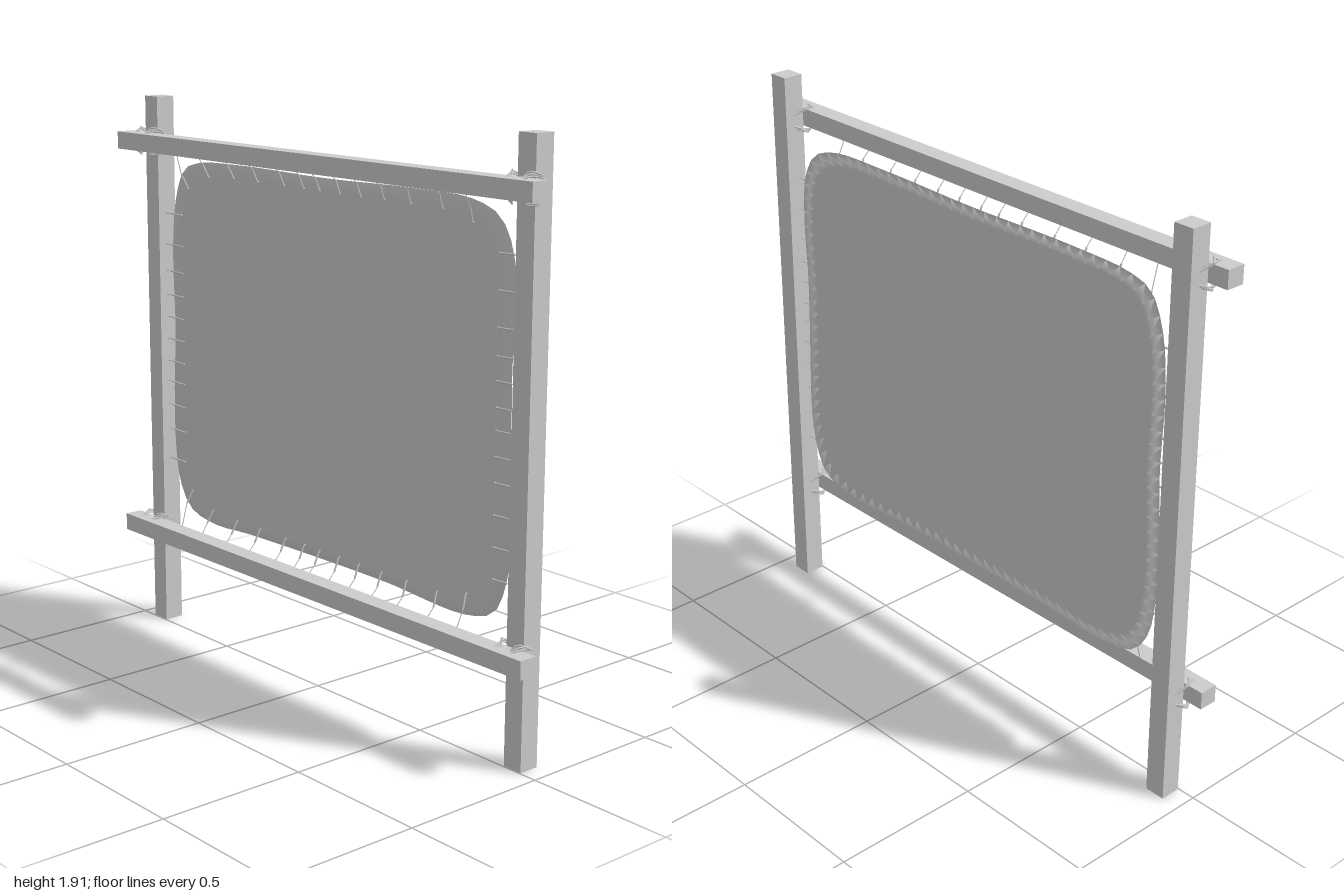
import * as THREE from 'three';

const grey = new THREE.MeshStandardMaterial({ color: 0xcccccc });
grey.name = 'pale grey';

const POST_X = 0.903, HIDE_Z = -0.037, CENTRE_Y = 1.065;
const RAILS = [0.363, 1.758];
const v = (x, y, z) => new THREE.Vector3(x, y, z);

function add(parent, geometry, name) {
  const mesh = new THREE.Mesh(geometry, grey);
  mesh.name = name;
  parent.add(mesh);
  return mesh;
}

function cord(parent, points, radius, name, segments = 4) {
  const curve = new THREE.CatmullRomCurve3(points);
  return add(parent, new THREE.TubeGeometry(curve, segments, radius, 5), name);
}

// Thin stretched skin: shrinking copies of one outline, front to back
function hideGeometry() {
  const outline = new THREE.CatmullRomCurve3([
    [-0.80, 1.60], [-0.825, 1.50], [-0.835, 1.35], [-0.828, 1.10], [-0.84, 0.85], [-0.835, 0.65],
    [-0.81, 0.53], [-0.75, 0.45], [-0.62, 0.42], [-0.40, 0.428], [0, 0.433], [0.30, 0.432],
    [0.66, 0.42], [0.78, 0.46], [0.83, 0.57], [0.845, 0.70], [0.84, 0.90], [0.832, 1.20],
    [0.84, 1.40], [0.825, 1.57], [0.77, 1.66], [0.66, 1.70], [0.40, 1.708], [0, 1.702],
    [-0.45, 1.706], [-0.68, 1.695], [-0.76, 1.667],
  ].map(([x, y]) => v(x, y, 0)), true);
  const N = 108, RIM = 2, pts = outline.getSpacedPoints(N).slice(0, N);
  const rings = [[0, 0.002], [0.94, 0.002], [1, 0], [0.94, -0.002], [0, -0.002]];
  const pos = [], idx = [];
  for (const [s, dz] of rings)
    for (const p of pts) pos.push(p.x * s, CENTRE_Y + (p.y - CENTRE_Y) * s, HIDE_Z + dz);
  for (let r = 0; r < rings.length - 1; r++)
    for (let i = 0; i < N; i++) {
      const j = (i + 1) % N, a = r * N + i, b = r * N + j, c = a + N, d = b + N;
      if (r < rings.length - 2) idx.push(a, c, d);
      if (r > 0) idx.push(a, d, b);
    }
  const g = new THREE.BufferGeometry();
  g.setAttribute('position', new THREE.Float32BufferAttribute(pos, 3));
  g.setIndex(idx);
  g.computeVertexNormals();
  // Rim rolls softly towards the front
  pts.forEach((p, i) => {
    const n = v(p.x, p.y - CENTRE_Y, 0).normalize().multiplyScalar(0.3).setZ(1).normalize();
    g.attributes.normal.setXYZ(RIM * N + i, n.x, n.y, n.z);
  });
  return g;
}

export function createModel() {
  const model = new THREE.Group();
  model.name = 'hideStretchingFrame';

  // Timber frame: posts behind, rails in front
  for (const s of [-1, 1])
    add(model, new THREE.BoxGeometry(0.07, 1.912, 0.07), s > 0 ? 'leftPost' : 'rightPost')
      .position.set(s * POST_X, 0.956, -0.038);
  RAILS.forEach((y, i) =>
    add(model, new THREE.BoxGeometry(2, 0.06, 0.064), i ? 'topRail' : 'bottomRail')
      .position.set(0, y, 0.042));

  add(model, hideGeometry(), 'hide');

  // Lashings around the four corners of every crossing
  for (const side of [-1, 1])
    for (const y of RAILS) {
      const lashing = new THREE.Group();
      lashing.name = 'lashing';
      lashing.position.set(side * POST_X, y, 0);
      model.add(lashing);
      for (const sx of [-1, 1])
        for (const sy of [-1, 1])
          for (let k = 0; k < 3; k++) {
            const o = k * 0.006;
            cord(lashing, [
              v(sx * 0.034, sy * (0.02 + o), -0.04 + o),
              v(sx * (0.046 + o * 0.5), sy * (0.03 + o), -0.012 + o),
              v(sx * (0.044 - o), sy * (0.036 + o), 0.02),
              v(sx * (0.032 - o), sy * 0.03, 0.05 - o),
            ], 0.003, 'lashingStrand', 8);
          }
    }

  // Lacing: a fine cord to the frame and a thicker stitch over the hide's edge
  const lacing = new THREE.Group();
  lacing.name = 'lacing';
  model.add(lacing);
  function lace(anchor, edge, hole) {
    cord(lacing, [anchor, edge], 0.0016, 'laceCord', 1);
    cord(lacing, [edge, hole], 0.0032, 'laceStitch', 1);
    cord(lacing, [hole, v(hole.x, hole.y, HIDE_Z)], 0.0032, 'laceEnd', 1);
  }
  const FRONT = HIDE_Z + 0.006;
  for (const x of [-0.74, -0.62, -0.48, -0.35, -0.21, -0.11, -0.03, 0.07, 0.17, 0.28, 0.4, 0.54, 0.67]) {
    const drop = Math.max(0, Math.abs(x) - 0.6) * 0.4;
    for (const s of [-1, 1]) {
      const y = s > 0 ? 1.66 - drop : 0.462 + drop;
      const railY = s > 0 ? 1.73 : 0.391;
      lace(v(x, railY, 0.012), v(x * 1.003, y + s * 0.045, -0.012), v(x * 0.99, y, FRONT));
    }
  }
  const sides = [
    [-1, [1.505, 1.395, 1.30, 1.215, 1.135, 1.055, 0.975, 0.90, 0.815, 0.725, 0.615]],
    [1, [1.555, 1.445, 1.335, 1.25, 1.175, 1.095, 1.025, 0.945, 0.865, 0.765, 0.665, 0.565]],
  ];
  for (const [s, heights] of sides)
    for (const y of heights)
      lace(v(s * 0.869, y, HIDE_Z + 0.004), v(s * 0.84, y + 0.002, FRONT), v(s * 0.775, y, FRONT));

  return model;
}
